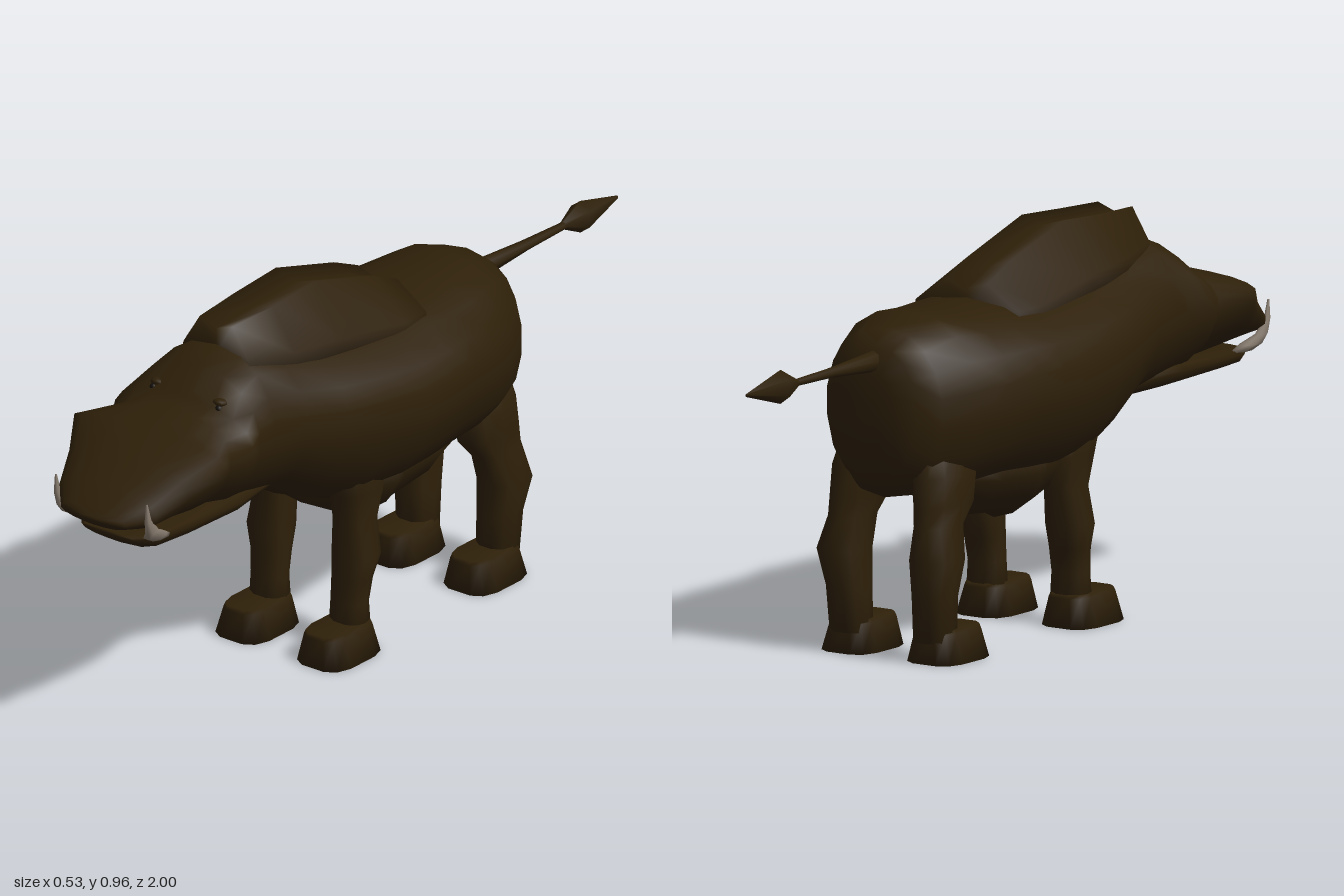
import * as THREE from 'three';

const hide = new THREE.MeshStandardMaterial({ color: 0x2e2009 });
hide.name = 'dark brown hide';
const ivory = new THREE.MeshStandardMaterial({ color: 0x85796c });
ivory.name = 'tusk ivory';
const black = new THREE.MeshStandardMaterial({ color: 0x120d07 });
black.name = 'eye black';

// Skin a row of closed rings and cap both ends
function loft(rings) {
  const n = rings[0].length, pos = rings.flat(2), idx = [];
  for (let i = 0; i < rings.length - 1; i++) {
    for (let j = 0; j < n; j++) {
      const k = (j + 1) % n, a = i * n + j, b = i * n + k;
      idx.push(a, a + n, b, b, a + n, b + n);
    }
  }
  [rings[0], rings[rings.length - 1]].forEach((ring, end) => {
    const centre = pos.length / 3;
    for (let c = 0; c < 3; c++) pos.push(ring.reduce((s, p) => s + p[c], 0) / n);
    const base = end ? (rings.length - 1) * n : 0;
    for (let j = 0; j < n; j++) {
      const k = (j + 1) % n;
      idx.push(centre, base + (end ? k : j), base + (end ? j : k));
    }
  });
  const g = new THREE.BufferGeometry();
  g.setAttribute('position', new THREE.Float32BufferAttribute(pos, 3));
  g.setIndex(idx);
  g.computeVertexNormals();
  return g;
}

const power = (v, p) => Math.sign(v) * Math.abs(v) ** p;

// Lengthwise form; each row: z, top, bottom, half width, height of widest point, underside power
function longForm(rows, n = 18) {
  return loft(rows.map(([z, top, bottom, w, mid, p = 1]) =>
    Array.from({ length: n }, (_, j) => {
      const t = (j / n) * Math.PI * 2, c = Math.cos(t);
      return [w * power(Math.sin(t), c > 0 ? 0.85 : p), mid + c * (c > 0 ? top - mid : mid - bottom), z];
    })));
}

// Upright form from top to bottom; each row: y, x, z, x radius, z radius
function uprightForm(rows, side, n = 10, p = 0.85) {
  return loft(rows.map(([y, x, z, rx, rz]) =>
    Array.from({ length: n }, (_, j) => {
      const t = ((j + 0.5) / n) * Math.PI * 2;
      return [side * x + rx * power(Math.sin(t), p), y, z + rz * power(Math.cos(t), p)];
    })));
}

export function createModel() {
  const model = new THREE.Group();
  const add = (name, geometry, material = hide) => {
    const mesh = new THREE.Mesh(geometry, material);
    mesh.name = name;
    model.add(mesh);
    return mesh;
  };

  // Trunk, neck and upper head in one skin
  add('body', longForm([
    [-0.49, 0.70, 0.53, 0.07, 0.60],
    [-0.475, 0.765, 0.44, 0.125, 0.61, 0.9],
    [-0.43, 0.80, 0.39, 0.17, 0.61, 0.85],
    [-0.34, 0.83, 0.38, 0.215, 0.62, 0.85],
    [-0.24, 0.82, 0.385, 0.245, 0.63, 0.85],
    [-0.15, 0.82, 0.385, 0.26, 0.64, 0.85],
    [-0.06, 0.82, 0.38, 0.27, 0.64, 0.85],
    [0.04, 0.82, 0.37, 0.27, 0.64, 0.9],
    [0.18, 0.83, 0.37, 0.26, 0.66],
    [0.30, 0.845, 0.42, 0.235, 0.67],
    [0.42, 0.87, 0.49, 0.205, 0.69],
    [0.52, 0.89, 0.50, 0.185, 0.70],
    [0.59, 0.86, 0.51, 0.195, 0.71, 1.1],
    [0.64, 0.80, 0.52, 0.215, 0.71, 1.2],
    [0.69, 0.785, 0.53, 0.185, 0.70, 1.2],
    [0.77, 0.76, 0.54, 0.235, 0.725, 1.4],
    [0.85, 0.72, 0.555, 0.185, 0.67, 1.2],
    [0.93, 0.675, 0.57, 0.15, 0.62],
    [0.985, 0.63, 0.585, 0.10, 0.605],
    [1.00, 0.612, 0.60, 0.03, 0.606],
  ]));

  // Hanging belly keel between the legs
  add('belly', longForm([
    [-0.30, 0.46, 0.38, 0.09, 0.43],
    [-0.23, 0.48, 0.345, 0.13, 0.43, 1.2],
    [-0.15, 0.48, 0.30, 0.15, 0.43, 1.3],
    [0.00, 0.48, 0.285, 0.16, 0.43, 1.3],
    [0.02, 0.48, 0.27, 0.16, 0.43, 1.3],
    [0.09, 0.48, 0.30, 0.15, 0.43, 1.2],
    [0.20, 0.48, 0.36, 0.12, 0.43],
  ], 14));

  // Lower jaw, slightly open
  add('lowerJaw', longForm([
    [0.42, 0.56, 0.49, 0.10, 0.53],
    [0.60, 0.57, 0.495, 0.15, 0.55],
    [0.78, 0.56, 0.50, 0.145, 0.55],
    [0.88, 0.555, 0.50, 0.125, 0.545],
    [0.93, 0.55, 0.53, 0.08, 0.545],
  ], 12));

  // Raised mane with a groove along its crest; rows: z, top, crest, shoulder width and height
  add('mane', loft([
    [-0.09, 0.86, 0.06, 0.15, 0.80],
    [0.00, 0.90, 0.06, 0.158, 0.805],
    [0.22, 0.965, 0.06, 0.145, 0.84],
    [0.38, 0.955, 0.06, 0.13, 0.855],
    [0.52, 0.95, 0.05, 0.10, 0.87],
  ].map(([z, top, crest, w, y]) => [
    [0, top - 0.018, z], [crest, top, z], [w, y, z], [w + 0.012, y - 0.07, z],
    [0, y - 0.1, z],
    [-w - 0.012, y - 0.07, z], [-w, y, z], [-crest, top, z],
  ])));

  // Tail with a pointed tuft
  add('tail', longForm([
    [-0.83, 0.734, 0.718, 0.009, 0.726],
    [-0.65, 0.74, 0.715, 0.015, 0.727],
    [-0.46, 0.755, 0.70, 0.022, 0.728],
  ], 8));
  add('tailTuft', longForm([
    [-1.00, 0.732, 0.724, 0.003, 0.728],
    [-0.86, 0.768, 0.685, 0.032, 0.726],
    [-0.79, 0.733, 0.719, 0.009, 0.726],
  ], 6));

  for (const side of [1, -1]) {
    const label = side > 0 ? 'left' : 'right';

    // Legs
    add(label + 'FrontLeg', uprightForm([
      [0.54, 0.13, 0.17, 0.06, 0.08],
      [0.42, 0.125, 0.145, 0.056, 0.075],
      [0.34, 0.122, 0.145, 0.048, 0.055],
      [0.25, 0.13, 0.15, 0.06, 0.05],
      [0.19, 0.124, 0.158, 0.051, 0.041],
      [0.13, 0.122, 0.165, 0.049, 0.035],
      [0.05, 0.122, 0.165, 0.05, 0.045],
    ], side));
    add(label + 'HindLeg', uprightForm([
      [0.54, 0.10, -0.34, 0.05, 0.09],
      [0.45, 0.115, -0.35, 0.06, 0.10],
      [0.38, 0.122, -0.36, 0.054, 0.095],
      [0.33, 0.125, -0.385, 0.046, 0.075],
      [0.25, 0.135, -0.405, 0.06, 0.07],
      [0.16, 0.125, -0.40, 0.05, 0.058],
      [0.05, 0.122, -0.395, 0.05, 0.049],
    ], side));

    // Broad feet
    for (const [name, z] of [['FrontFoot', 0.21], ['HindFoot', -0.345]]) {
      add(label + name, uprightForm([
        [0.08, 0.123, z, 0.052, 0.086],
        [0.07, 0.123, z, 0.056, 0.09],
        [0.00, 0.125, z, 0.075, 0.102],
      ], side, 12, 0.6));
    }

    // Upturned tusk
    add(label + 'Tusk', uprightForm([
      [0.665, 0.139, 0.955, 0.002, 0.003],
      [0.62, 0.139, 0.95, 0.007, 0.01],
      [0.585, 0.136, 0.93, 0.011, 0.022],
      [0.565, 0.125, 0.905, 0.022, 0.036],
      [0.55, 0.115, 0.88, 0.02, 0.035],
    ], side, 8), ivory);

    // Deep-set eye under a slight brow
    const eye = add(label + 'Eye', new THREE.SphereGeometry(0.01, 10, 8), black);
    eye.position.set(side * 0.10, 0.79, 0.633);
    const brow = add(label + 'Brow', new THREE.SphereGeometry(0.016, 8, 6));
    brow.scale.set(1.3, 0.6, 1);
    brow.position.set(side * 0.095, 0.803, 0.622);
  }
  return model;
}
